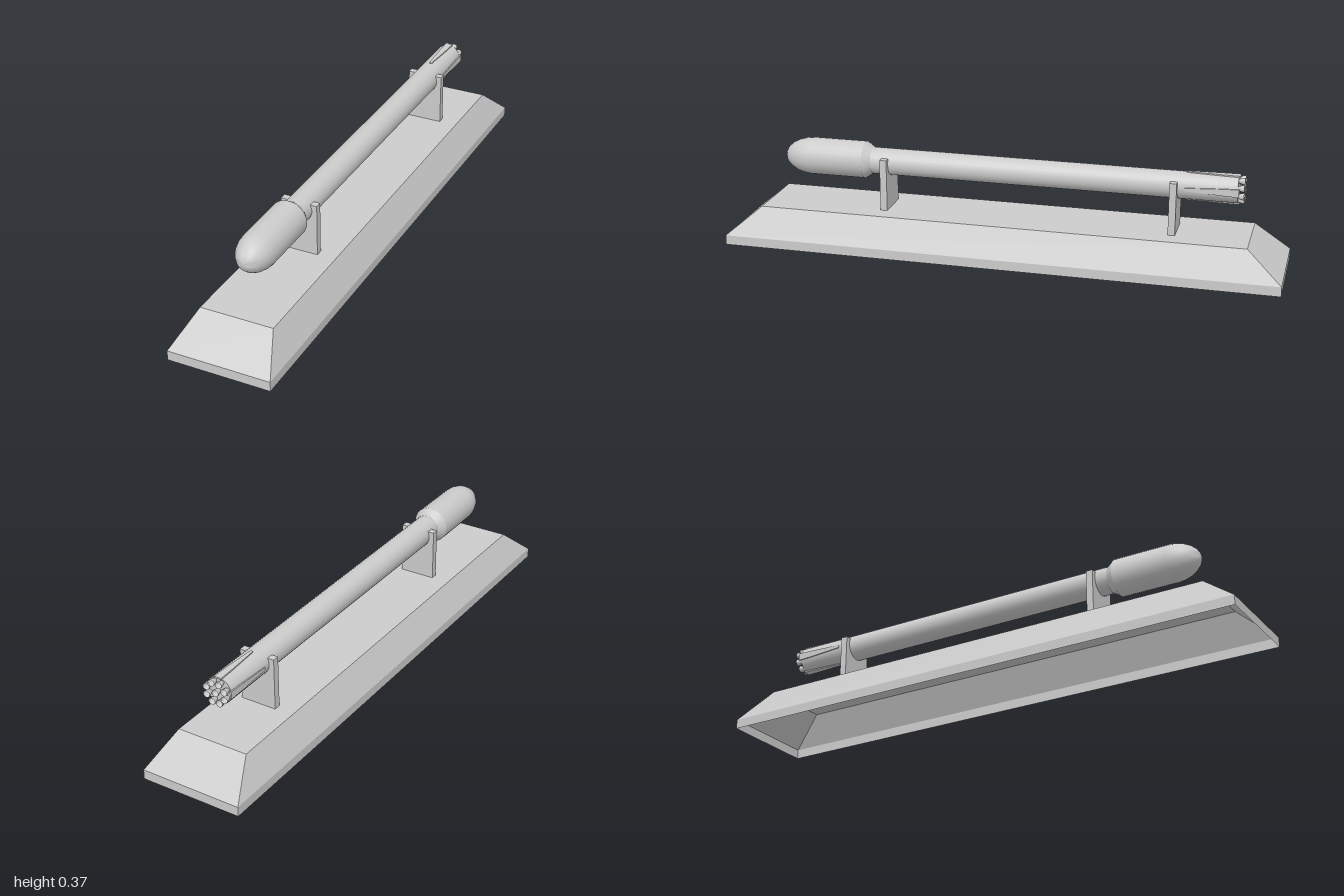
import * as THREE from 'three';
import { toCreasedNormals } from 'three/addons/utils/BufferGeometryUtils.js';

const AXIS_Y = 0.305;   // height of the rocket's long axis
const BODY_R = 0.048;

const grey = new THREE.MeshStandardMaterial({ color: 0xcccccc });
const greyThin = new THREE.MeshStandardMaterial({ color: 0xcccccc, side: THREE.DoubleSide });

function addMesh(parent, name, geometry, material = grey) {
  const mesh = new THREE.Mesh(geometry, material);
  mesh.name = name;
  parent.add(mesh);
  return mesh;
}

// Turned part along z from [radius, z] pairs, listed from aft to front
function turned(profile, sides) {
  const points = profile.map(([r, z]) => new THREE.Vector2(r, z));
  const geometry = new THREE.LatheGeometry(points, sides).rotateX(Math.PI / 2);
  return toCreasedNormals(geometry, 0.5);
}

// Hollow plinth, open underneath: rectangular rings joined by side walls
function plinthGeometry() {
  const rings = [[0.185, 0, 1], [0.185, 0.035, 1], [0.132, 0.14, 0.875]];
  const corners = [[1, 1], [1, -1], [-1, -1], [-1, 1]];
  const position = [], index = [];
  for (const [x, y, z] of rings) {
    for (const [sx, sz] of corners) position.push(sx * x, y, sz * z);
  }
  for (let r = 0; r < 2; r++) {
    for (let i = 0; i < 4; i++) {
      const a = r * 4 + i, b = r * 4 + (i + 1) % 4;
      index.push(a, b, b + 4, a, b + 4, a + 4);
    }
  }
  index.push(8, 9, 10, 8, 10, 11);
  const geometry = new THREE.BufferGeometry();
  geometry.setAttribute('position', new THREE.Float32BufferAttribute(position, 3));
  geometry.setIndex(index);
  const flat = geometry.toNonIndexed();
  flat.computeVertexNormals();
  return flat;
}

// Upright plate with a round saddle cut in its top edge
function cradleGeometry() {
  const w = 0.066, top = 0.328, depth = 0.025;
  const rise = Math.asin((top - AXIS_Y) / BODY_R);
  const shape = new THREE.Shape();
  shape.moveTo(-w, 0.138);
  shape.lineTo(w, 0.138);
  shape.lineTo(w, top);
  shape.lineTo(BODY_R * Math.cos(rise), top);
  shape.absarc(0, AXIS_Y, BODY_R, rise, Math.PI - rise, true);
  shape.lineTo(-w, top);
  shape.closePath();
  return new THREE.ExtrudeGeometry(shape, { depth, bevelEnabled: false, curveSegments: 16 })
    .translate(0, 0, -depth / 2);
}

// Folded landing leg: a thin strip that widens towards the tail
function legGeometry() {
  const shape = new THREE.Shape();
  shape.moveTo(-0.014, 0.83);
  shape.lineTo(0.014, 0.83);
  shape.lineTo(0.012, 0.77);
  shape.lineTo(0.005, 0.645);
  shape.lineTo(-0.005, 0.645);
  shape.lineTo(-0.012, 0.77);
  shape.closePath();
  return new THREE.ExtrudeGeometry(shape, { depth: 0.006, bevelEnabled: false })
    .rotateX(-Math.PI / 2)
    .translate(0, BODY_R - 0.003, 0);
}

export function createModel() {
  const model = new THREE.Group();
  model.name = 'rocketOnStand';

  addMesh(model, 'plinth', plinthGeometry(), greyThin);

  const cradle = cradleGeometry();
  for (const [name, z] of [['frontCradle', 0.432], ['rearCradle', -0.607]]) {
    addMesh(model, name, cradle).position.z = z;
  }

  const rocket = new THREE.Group();
  rocket.name = 'rocket';
  rocket.position.y = AXIS_Y;
  model.add(rocket);

  addMesh(rocket, 'body', turned([[0, -0.825], [BODY_R, -0.825], [BODY_R, 0.5]], 24));

  // Payload fairing with a rounded nose
  addMesh(rocket, 'fairing', turned([
    [BODY_R, 0.487], [0.067, 0.515], [0.067, 0.72], [0.064, 0.745], [0.057, 0.77],
    [0.045, 0.792], [0.031, 0.808], [0.016, 0.817], [0, 0.82],
  ], 24));

  // Four folded legs around the tail
  const leg = legGeometry();
  leg.scale(1, 1, -1);
  const index = [];
  for (let i = 0; i < leg.attributes.position.count; i += 3) index.push(i, i + 2, i + 1);
  leg.setIndex(index);
  leg.translate(0, 0, 0);
  const legs = new THREE.Group();
  legs.name = 'landingLegs';
  rocket.add(legs);
  // Strip may lie on either side after folding, so bring it to the tail
  leg.computeBoundingBox();
  if (leg.boundingBox.min.z > 0) leg.rotateY(Math.PI);
  leg.computeVertexNormals();
  for (let i = 0; i < 4; i++) {
    addMesh(legs, 'landingLeg', leg).rotation.z = i * Math.PI / 2;
  }

  // Engine cluster: one in the middle and eight around it
  const bell = turned([
    [0.0125, -0.847], [0.0115, -0.838], [0.008, -0.828], [0.005, -0.82],
  ], 12);
  const engines = new THREE.Group();
  engines.name = 'engines';
  rocket.add(engines);
  addMesh(engines, 'engineBell', bell, greyThin);
  for (let i = 0; i < 8; i++) {
    const a = (i + 0.5) * Math.PI / 4;
    addMesh(engines, 'engineBell', bell, greyThin)
      .position.set(0.037 * Math.cos(a), 0.037 * Math.sin(a), 0);
  }

  return model;
}
